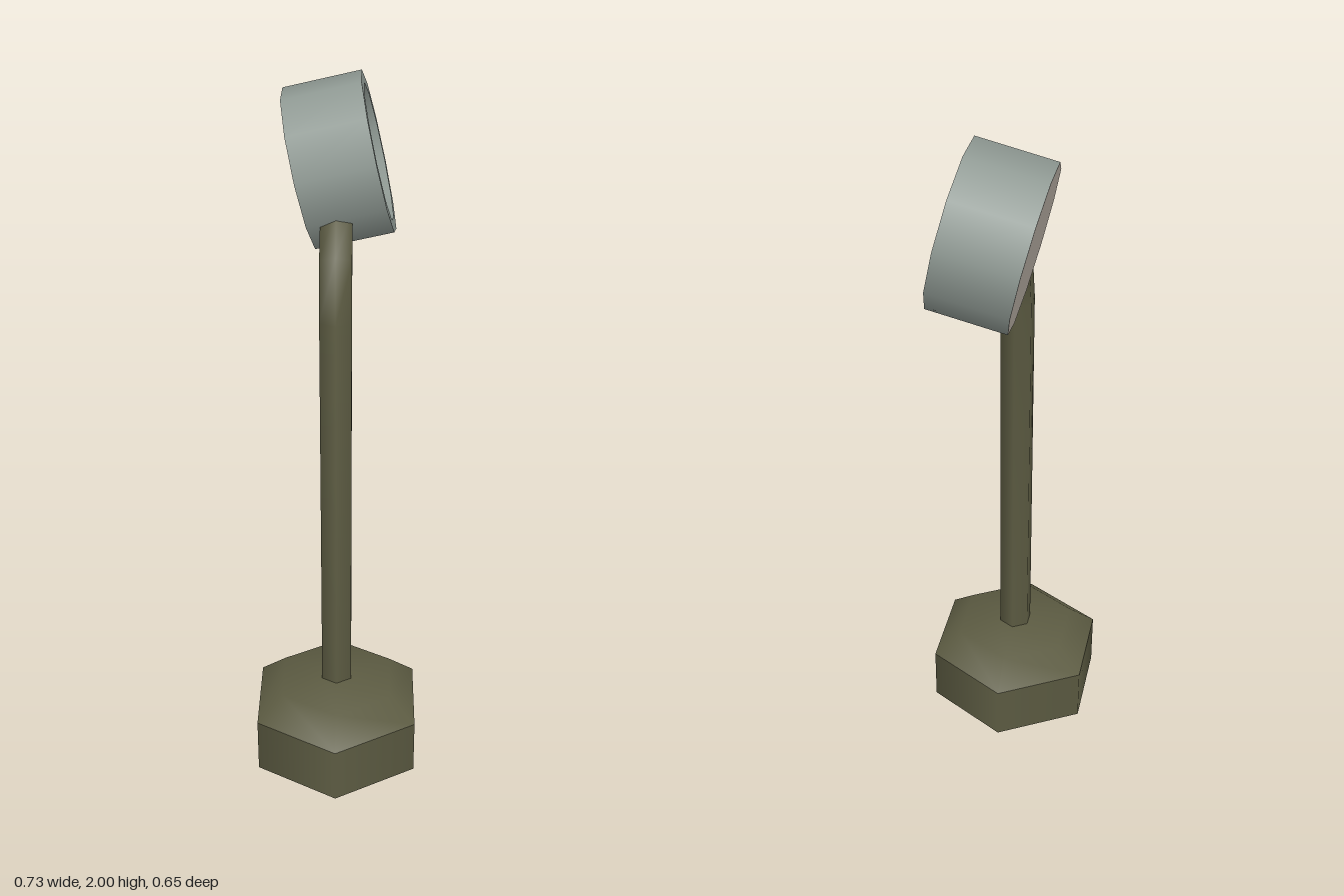
import * as THREE from 'three';

const mat = (name, color, side = THREE.FrontSide) => {
  const m = new THREE.MeshStandardMaterial({ color, side });
  m.name = name;
  return m;
};

export function createModel() {
  const olive = mat('olive metal', 0x5c5b42, THREE.DoubleSide);
  const grey = mat('grey green metal', 0x8f9993);
  const beige = mat('dial beige', 0xbfb5ab);
  const red = mat('red', 0xc83c3c);
  const dark = mat('dark grey', 0x3c3e3e);

  const add = (parent, name, geometry, material) => {
    const mesh = new THREE.Mesh(geometry, material);
    mesh.name = name;
    parent.add(mesh);
    return mesh;
  };
  // One lathe per profile strip, so edges between strips stay sharp
  const lathe = (points, sides, start) =>
    new THREE.LatheGeometry(points.map(p => new THREE.Vector2(...p)), sides, start);

  const model = new THREE.Group();
  model.name = 'gauge on stand';
  // The whole stand is turned about its pole
  const stand = new THREE.Group();
  stand.name = 'stand';
  stand.position.set(-0.125, 0, 0.0455);
  stand.rotation.y = THREE.MathUtils.degToRad(35);
  model.add(stand);

  // Six-sided hollow base
  const hexStart = Math.PI / 6;
  add(stand, 'baseWall', lathe([[0.27, 0], [0.27, 0.17]], 6, hexStart), olive);
  add(stand, 'baseTop', lathe([[0.27, 0.17], [0.185, 0.24], [0.045, 0.255]], 6, hexStart), olive);

  // Pole bending sideways into the head: [offset, height, tilt] of each ring, from the top
  const rings = [[0.165, 1.66, 0.95], [0.037, 1.57, 0.6], [0, 1.42, 0.1], [0, 0.25, 0]];
  const pole = new THREE.CylinderGeometry(0.05, 0.05, 1, 6, rings.length - 1, true, hexStart);
  const pos = pole.attributes.position;
  for (let i = 0; i < pos.count; i++) {
    const [cx, cy, tilt] = rings[Math.floor(i / 7)];
    const x = pos.getX(i);
    pos.setXY(i, cx + x * Math.cos(tilt), cy - x * Math.sin(tilt));
  }
  // Keep the normals smooth around the pole, tilted with the rings
  const nor = pole.attributes.normal;
  for (let i = 0; i < nor.count; i++) {
    const tilt = rings[Math.floor(i / 7)][2];
    const x = nor.getX(i);
    nor.setXY(i, x * Math.cos(tilt), -x * Math.sin(tilt));
  }
  add(stand, 'pole', pole, olive);

  // Round head, looking slightly upward
  const head = new THREE.Group();
  head.name = 'head';
  head.position.set(0.295, 1.763, 0.006);
  head.rotation.x = -THREE.MathUtils.degToRad(13);
  stand.add(head);

  const R = 0.224, half = 0.11, lip = 0.19, dialR = 0.143, dialZ = 0.052, sides = 11;
  const strips = {
    headShell: [[R, -half], [R, half]],
    headRim: [[R, half], [lip, half]],
    headFunnel: [[lip, half], [dialR, dialZ]],
  };
  for (const [name, points] of Object.entries(strips)) {
    add(head, name, lathe(points, sides, 0).rotateX(Math.PI / 2), grey);
  }
  const disc = r => new THREE.CircleGeometry(r, sides, -Math.PI / 2);
  add(head, 'dial', disc(dialR), beige).position.z = dialZ;
  add(head, 'headBack', disc(R).rotateY(Math.PI), beige).position.z = -half;

  // Thin hands on the dial, all from one pivot: [name, dx, dy, width, material]
  const pivot = [-0.005, 0.048];
  const hands = [
    ['wideHand', 0.105, 0, 0.022, grey],
    ['thinHand', -0.034, 0.07, 0.006, dark],
    ['redHand', -0.058, -0.085, 0.013, red],
  ];
  hands.forEach(([name, dx, dy, width, material], i) => {
    const hand = add(head, name, new THREE.BoxGeometry(Math.hypot(dx, dy), width, 0.004), material);
    hand.position.set(pivot[0] + dx / 2, pivot[1] + dy / 2, dialZ + 0.003 + i * 0.001);
    hand.rotation.z = Math.atan2(dy, dx);
  });

  return model;
}
